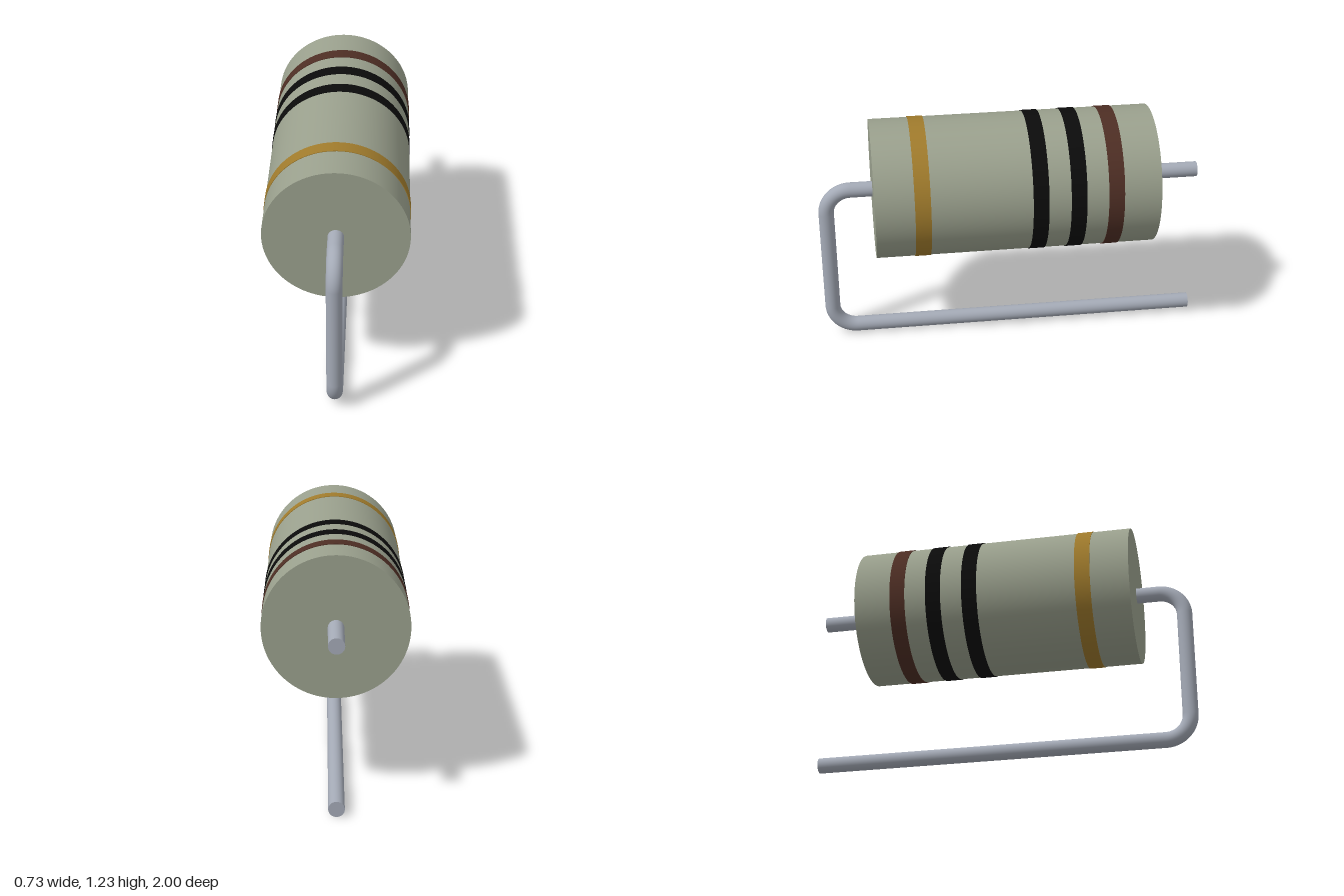
import * as THREE from 'three';

const mat = (name, color) => new THREE.MeshStandardMaterial({ name, color });

export function createModel() {
  const group = new THREE.Group();
  group.name = 'resistor';

  const ceramic = mat('grey green ceramic', 0x9aa08d);
  const gold = mat('gold', 0xa07b2c);
  const brown = mat('brown', 0x4e2e24);
  const black = mat('black', 0x0b0b0b);
  const metal = mat('lead metal', 0xa4aab6);

  const axisY = 0.867, bodyR = 0.36, wireR = 0.04, bendR = 0.13;
  const frontZ = 1 - wireR, lowY = wireR;

  const add = (name, geometry, material, y, z) => {
    const mesh = new THREE.Mesh(geometry, material);
    mesh.name = name;
    mesh.position.set(0, y, z);
    group.add(mesh);
    return mesh;
  };
  // Cylinder lying along z between two depths
  const rod = (name, r, z0, z1, y, material, sides, open = false) => {
    const g = new THREE.CylinderGeometry(r, r, z1 - z0, sides, 1, open).rotateX(Math.PI / 2);
    return add(name, g, material, y, (z0 + z1) / 2);
  };

  // Body
  rod('body', bodyR, -0.735, 0.715, axisY, ceramic, 96);

  // Painted colour bands, a thin shell around the body
  const bands = [
    ['toleranceBand', 0.476, gold],
    ['multiplierBand', -0.118, black],
    ['secondBand', -0.311, black],
    ['firstBand', -0.503, brown],
  ];
  for (const [name, z, material] of bands) {
    rod(name, bodyR + 0.003, z - 0.04, z + 0.04, axisY, material, 96);
  }

  // Straight runs of the wire lead
  rod('backLead', wireR, -1, -0.7, axisY, metal, 32);
  rod('frontLead', wireR, 0.7, frontZ - bendR, axisY, metal, 32);
  rod('lowerLead', wireR, -1, frontZ - bendR, lowY, metal, 32);
  const height = axisY - lowY - 2 * bendR;
  add('uprightLead', new THREE.CylinderGeometry(wireR, wireR, height, 32),
    metal, (axisY + lowY) / 2, frontZ);

  // Quarter-turn bends joining the runs
  for (const [name, y, turn] of [
    ['upperBend', axisY - bendR, 0],
    ['lowerBend', lowY + bendR, -Math.PI / 2],
  ]) {
    const g = new THREE.TorusGeometry(bendR, wireR, 32, 24, Math.PI / 2)
      .rotateZ(turn).rotateY(-Math.PI / 2);
    add(name, g, metal, y, frontZ - bendR);
  }

  return group;
}
